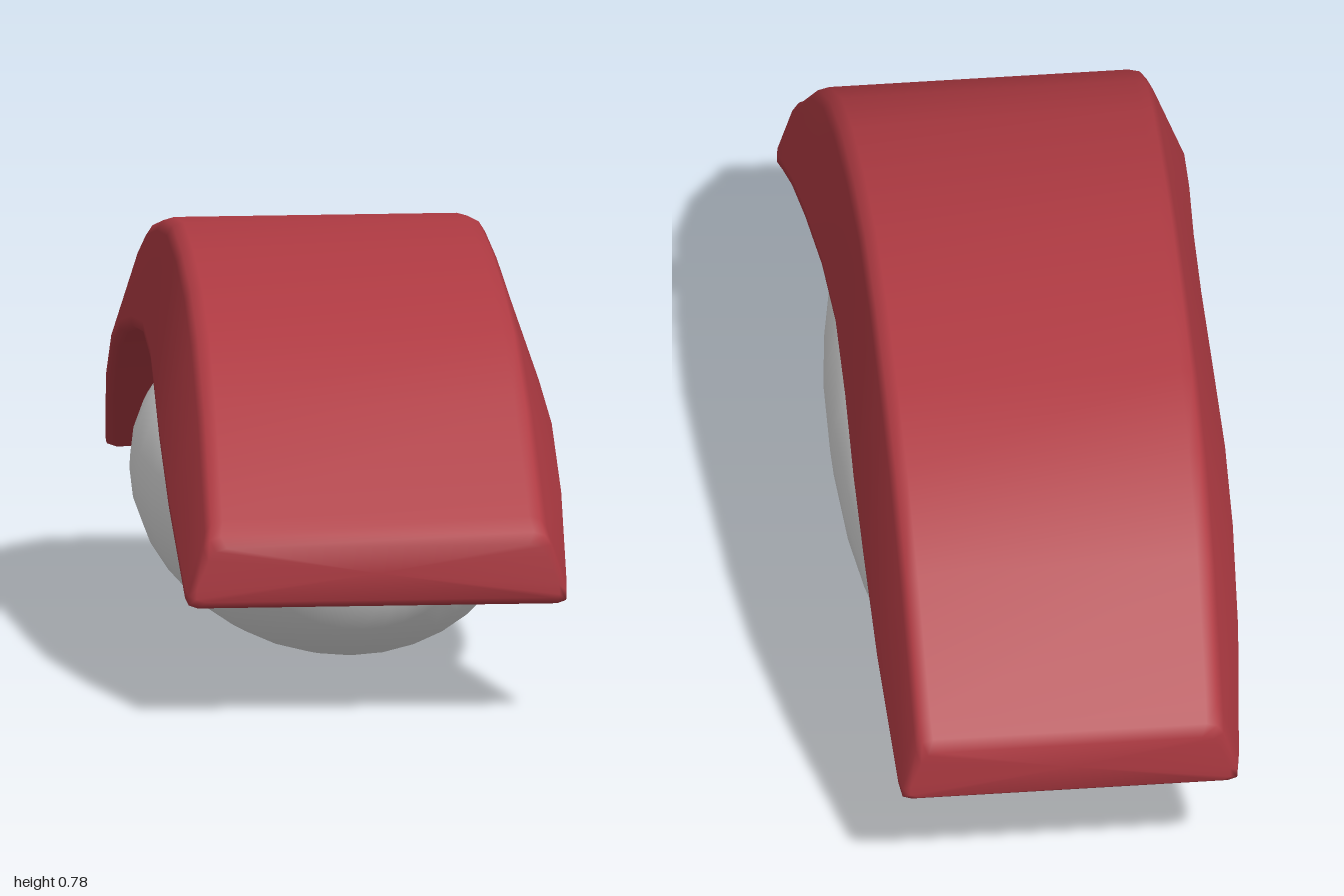
import * as THREE from 'three';

// Skin a list of closed rings (counter-clockwise seen from +z, running from +z to -z) and cap both ends
function loft(rings) {
  const n = rings[0].length;
  const pos = [];
  const index = [];
  for (const ring of rings) for (const p of ring) pos.push(p.x, p.y, p.z);
  for (let i = 0; i < rings.length - 1; i++) {
    for (let j = 0; j < n; j++) {
      const a = i * n + j;
      const b = i * n + (j + 1) % n;
      index.push(a, a + n, b, b, a + n, b + n);
    }
  }
  [rings[0], rings[rings.length - 1]].forEach((ring, end) => {
    const c = ring.reduce((s, p) => s.add(p), new THREE.Vector3()).divideScalar(n);
    const centre = pos.length / 3;
    const base = end ? (rings.length - 1) * n : 0;
    pos.push(c.x, c.y, c.z);
    for (let j = 0; j < n; j++) {
      const a = base + j;
      const b = base + (j + 1) % n;
      if (end) index.push(centre, b, a);
      else index.push(centre, a, b);
    }
  });
  const geo = new THREE.BufferGeometry();
  geo.setAttribute('position', new THREE.Float32BufferAttribute(pos, 3));
  geo.setIndex(index);
  geo.computeVertexNormals();
  return geo;
}

// Trapezoid with softened corners: z, bottom y, top y, bottom half width, top half width
function sliceRing([z, bottom, top, wb, wt], r = 0.025) {
  const corners = [[wb, bottom], [wt, top], [-wt, top], [-wb, bottom]]
    .map(([x, y]) => new THREE.Vector3(x, y, z));
  const ring = [];
  corners.forEach((p, i) => {
    const toward = (q) => p.clone().add(q.clone().sub(p).setLength(r));
    const a = toward(corners[(i + 3) % 4]);
    const b = toward(corners[(i + 1) % 4]);
    const mid = p.clone().multiplyScalar(0.5).addScaledVector(a, 0.25).addScaledVector(b, 0.25);
    ring.push(a, mid, b);
  });
  return ring;
}

// Ellipse around the rice axis, scaled by s
function riceRing([z, s], sides = 32) {
  return Array.from({ length: sides }, (_, j) => {
    const t = (j / sides) * Math.PI * 2;
    return new THREE.Vector3(0.35 * s * Math.cos(t), 0.291 + 0.287 * s * Math.sin(t), z);
  });
}

export function createModel() {
  const group = new THREE.Group();
  group.name = 'riceWithSlice';
  const red = new THREE.MeshStandardMaterial({ color: 0xae3a42 });
  red.name = 'fishRed';
  const white = new THREE.MeshStandardMaterial({ color: 0xdedede });
  white.name = 'riceWhite';

  // Arched slice draped over the rice, with bevelled ends
  const sections = [
    [1, 0.225, 0.325, 0.345, 0.305],
    [0.985, 0.212, 0.345, 0.358, 0.315],
    [0.955, 0.222, 0.371, 0.362, 0.309],
    [0.75, 0.36, 0.55, 0.372, 0.302],
    [0.57, 0.46, 0.66, 0.372, 0.297],
    [0.4, 0.515, 0.72, 0.364, 0.293],
    [0.2, 0.553, 0.76, 0.352, 0.29],
    [0, 0.572, 0.78, 0.346, 0.288],
    [-0.2, 0.553, 0.76, 0.348, 0.287],
    [-0.4, 0.515, 0.72, 0.352, 0.287],
    [-0.57, 0.46, 0.66, 0.35, 0.286],
    [-0.75, 0.36, 0.55, 0.342, 0.284],
    [-0.955, 0.222, 0.371, 0.323, 0.28],
    [-0.985, 0.212, 0.345, 0.318, 0.278],
    [-1, 0.225, 0.325, 0.305, 0.268],
  ];
  const slice = new THREE.Mesh(loft(sections.map((s) => sliceRing(s))), red);
  slice.name = 'fishSlice';
  group.add(slice);

  // Rounded rice pillow, swept from one blunt end to the other
  const half = [[0.748, 0.12], [0.746, 0.28], [0.735, 0.43], [0.7, 0.59], [0.615, 0.75],
    [0.49, 0.87], [0.35, 0.935], [0.2, 0.98]];
  const profile = [
    ...half,
    [0, 1],
    ...half.map(([z, s]) => [-z, s]).reverse(),
  ].map(([z, s]) => [z - 0.017, s]);
  const rice = new THREE.Mesh(loft(profile.map((p) => riceRing(p))), white);
  rice.name = 'rice';
  group.add(rice);

  return group;
}
